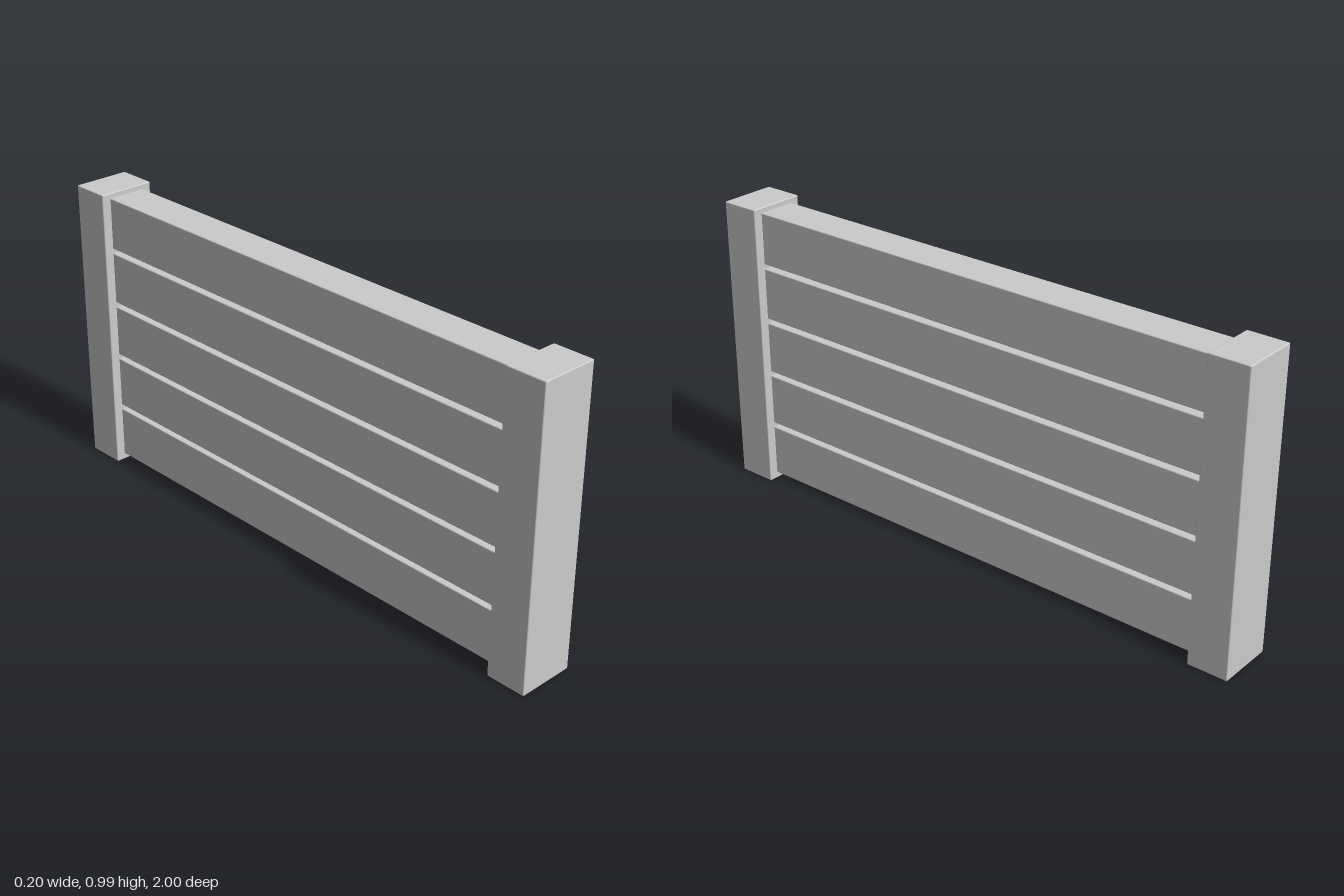
import * as THREE from 'three';
import { RoundedBoxGeometry } from 'three/addons/geometries/RoundedBoxGeometry.js';

const material = new THREE.MeshStandardMaterial({ color: 0xcccccc });

// Box with finely eased edges, centred at (0, y, z)
function board(name, width, height, depth, y, z) {
  const mesh = new THREE.Mesh(new RoundedBoxGeometry(width, height, depth, 2, 0.004), material);
  mesh.name = name;
  mesh.position.set(0, y, z);
  return mesh;
}

export function createModel() {
  const fence = new THREE.Group();
  fence.name = 'fencePanel';

  // End posts
  const postHeight = 0.993, postDepth = 0.137;
  for (const side of [1, -1]) {
    const name = side > 0 ? 'frontPost' : 'backPost';
    fence.add(board(name, 0.197, postHeight, postDepth, postHeight / 2, side * (1 - postDepth / 2)));
  }

  // Five horizontal slats with narrow gaps, ends let into the posts
  const slatHeight = 0.178, pitch = 0.194;
  for (let i = 0; i < 5; i++) {
    fence.add(board(`slat${i + 1}`, 0.134, slatHeight, 1.75, 0.021 + slatHeight / 2 + i * pitch, 0));
  }

  return fence;
}
